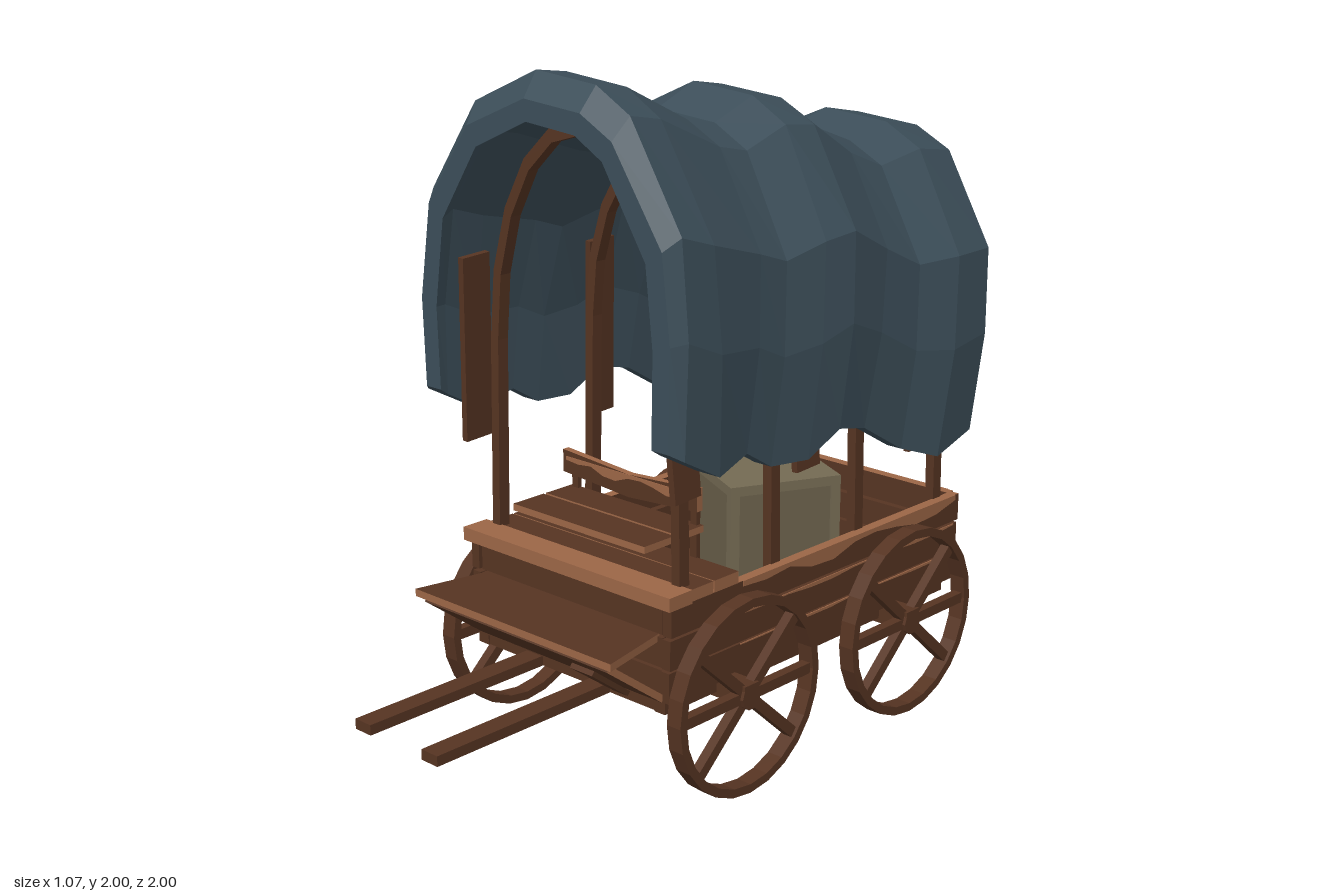
import * as THREE from 'three';

const mat = (name, color) => {
  const m = new THREE.MeshStandardMaterial({ color });
  m.name = name;
  m.flatShading = true;
  return m;
};

export function createModel() {
  const wood = mat('dark wood', 0x563422);
  const worn = mat('worn light wood', 0x9c6646);
  const cloth = mat('blue canvas', 0x3c4e59);
  const crateMat = mat('crate wood', 0x746a53);
  const crateDark = mat('crate panel', 0x6a604b);

  const model = new THREE.Group();
  model.name = 'coveredWagon';
  const add = (name, geo, m, parent = model) => {
    const mesh = new THREE.Mesh(geo, m);
    mesh.name = name;
    parent.add(mesh);
    return mesh;
  };
  // Box given by its x, y and z ranges
  const box = (name, [x0, x1], [y0, y1], [z0, z1], m = wood, parent = model) => {
    const mesh = add(name, new THREE.BoxGeometry(x1 - x0, y1 - y0, z1 - z0), m, parent);
    mesh.position.set((x0 + x1) / 2, (y0 + y1) / 2, (z0 + z1) / 2);
    return mesh;
  };
  const extrude = (pts, depth) => new THREE.ExtrudeGeometry(
    new THREE.Shape(pts.map(([x, y]) => new THREE.Vector2(x, y))), { depth, bevelEnabled: false });
  // Tapered board: wide at the top, narrow at the foot
  const taper = (name, top, foot, h, d) =>
    add(name, extrude([[-foot / 2, 0], [foot / 2, 0], [top / 2, h], [-top / 2, h]], d), wood);
  // Thin strip of worn wood with a ragged lower edge, hanging from y = 0
  const wear = (length, depth) => {
    const ragged = [0.35, 0.5, 0.3, 0.9, 1, 0.4, 0.3, 0.55, 0.95, 0.85, 0.35];
    const low = ragged.map((d, i) => [length * (i / 10 - 0.5), -depth * d]);
    return extrude([...low, [length / 2, 0], [-length / 2, 0]], 0.004);
  };
  // Face order of box materials: +x, -x, +y, -y, +z, -z
  const topWorn = [wood, wood, worn, wood, wood, wood];
  const edgeWorn = [worn, worn, wood, wood, worn, wood];

  // Bed: floor planks, cross beams, axles
  for (let i = 0; i < 5; i++) {
    const x = -0.36 + i * 0.146;
    box('floorPlank', [x, x + 0.136], [0.315, 0.335], [-0.92, 0.37]);
  }
  for (const z of [-0.86, -0.36, -0.12, 0.33]) box('crossBeam', [-0.37, 0.37], [0.285, 0.315], [z - 0.035, z + 0.035]);
  for (const z of [0.13, -0.61]) box('axle', [-0.48, 0.48], [0.27, 0.33], [z - 0.03, z + 0.03]);

  // Walls of three planks each, worn along the upper edges
  [[0.32, 0.41], [0.418, 0.505], [0.515, 0.6]].forEach((y, i) => {
    const m = i === 2 ? topWorn : wood;
    const depth = [0.008, 0.012, 0.045][i];
    for (const s of [-1, 1]) {
      const x = s * (0.375 + i * 0.004);
      box('sidePlank', [x - 0.015, x + 0.015], y, [-0.94, 0.37], m);
      const strip = add('sideWear', wear(1, depth), worn);
      strip.position.set(x + s * 0.014, y[1], -0.42);
      strip.rotation.y = s * Math.PI / 2;
    }
    box('tailPlank', [-0.37, 0.37], y, [-0.95, -0.92], m);
    const strip = add('tailWear', wear(0.7, depth * 0.5), worn);
    strip.position.set(0, y[1], -0.949);
    strip.rotation.y = Math.PI;
    box('frontPlank', [-0.36, 0.36], y, [0.34, 0.365], m);
  });
  for (const s of [-1, 1]) {
    box('bottomRail', [s * 0.355 - 0.02, s * 0.355 + 0.02], [0.285, 0.32], [-0.9, 0.37]);
    taper('tailStrap', 0.08, 0.055, 0.26, 0.015).position.set(s * 0.29, 0.33, -0.965);
  }

  // Pulling shafts
  for (const x of [-0.14, 0.13]) box('shaft', [x - 0.031, x + 0.031], [0.285, 0.315], [-0.1, 1]);

  // Foot board, flaring forward, over a panel that slopes back to the bed
  const foot = new THREE.BoxGeometry(1, 0.022, 0.24);
  const fp = foot.attributes.position;
  for (let i = 0; i < fp.count; i++) fp.setX(i, fp.getX(i) * (fp.getZ(i) > 0 ? 0.78 : 0.68));
  add('footBoard', foot, edgeWorn).position.set(0, 0.5, 0.475);
  const slope = Math.atan2(0.21, 0.155);
  const panel = box('slopedPanel', [-0.365, 0.365], [0, 0.262], [0, 0.02], [worn, worn, wood, wood, wood, wood]);
  panel.position.set(0, 0.406, 0.472);
  panel.rotation.x = slope;
  const strap = taper('frontStrap', 0.085, 0.055, 0.19, 0.015);
  strap.position.set(0.23, 0.325, 0.385);
  strap.rotation.x = slope;

  // Driver's deck and bench
  for (const z of [[0.1, 0.2], [0.205, 0.295]]) box('deckPlank', [-0.4, 0.4], [0.6, 0.635], z, edgeWorn);
  box('deckFrontPlank', [-0.41, 0.41], [0.6, 0.64], [0.3, 0.39], [worn, worn, worn, wood, worn, wood]);
  for (const s of [-1, 1])
    box('backrestPost', [s * 0.235 - 0.012, s * 0.235 + 0.012], [0.61, 0.82], [0.09, 0.105]);
  for (const z of [[0.09, 0.2], [0.21, 0.33]])
    box('benchPlank', [-0.26, 0.26], [0.712, 0.732], z, edgeWorn);
  // Backrest, sagging in the middle
  const rest = new THREE.BoxGeometry(0.53, 0.068, 0.022, 4, 1, 1);
  const rp = rest.attributes.position;
  for (let i = 0; i < rp.count; i++) rp.setY(i, rp.getY(i) + Math.abs(rp.getX(i)) * 0.07 - 0.01);
  add('backrest', rest, [worn, worn, worn, wood, wood, wood]).position.set(0, 0.805, 0.112);
  add('backrestWear', wear(0.5, 0.03), worn).position.set(0, 0.829, 0.122);

  // Wheels: rim, hub and spokes
  const rimShape = new THREE.Shape().absarc(0, 0, 0.292, 0, Math.PI * 2);
  rimShape.holes.push(new THREE.Path().absarc(0, 0, 0.266, 0, Math.PI * 2, true));
  const rimGeo = new THREE.ExtrudeGeometry(rimShape, { depth: 0.05, bevelEnabled: false, curveSegments: 12 })
    .translate(0, 0, -0.025).rotateY(Math.PI / 2);
  const hubGeo = new THREE.CylinderGeometry(0.038, 0.038, 0.05, 10).rotateZ(Math.PI / 2);
  for (const x of [-0.455, 0.455]) for (const z of [0.13, -0.61]) {
    const wheel = new THREE.Group();
    wheel.name = 'wheel';
    wheel.position.set(x, 0.292, z);
    add('rim', rimGeo, wood, wheel);
    add('hub', hubGeo, wood, wheel);
    for (const deg of [0, 42, 138, 180, 222, 318]) {
      const a = deg * Math.PI / 180;
      const spoke = box('spoke', [-0.015, 0.015], [-0.016, 0.016], [-0.123, 0.123], wood, wheel);
      spoke.position.set(0, Math.sin(a) * 0.15, Math.cos(a) * 0.15);
      spoke.rotation.x = -a;
    }
    model.add(wheel);
  }

  // Hoops under the cover: posts that run into an arch
  const archPoints = (w, top) => {
    const pts = [[-w - 0.015, 0.34]];
    for (let i = 0; i <= 10; i++) {
      const a = Math.PI * (1 - i / 10);
      pts.push([Math.cos(a) * w, 1.2 + Math.sin(a) * (top - 1.2)]);
    }
    pts.push([w + 0.015, 0.34]);
    return pts;
  };
  for (const [z, top] of [[0.29, 1.86], [-0.09, 1.785], [-0.47, 1.725], [-0.86, 1.685]]) {
    const geo = extrude([...archPoints(0.362, top), ...archPoints(0.332, top - 0.04).reverse()], 0.038);
    add('hoop', geo, wood).position.z = z - 0.019;
  }
  // Loose slats hanging inside the cover
  for (const s of [-1, 1]) for (const [z, y] of [[0.34, 0.9], [-0.16, 0.87], [-0.68, 0.81]]) {
    const slat = box('hangingSlat', [-0.01, 0.01], [y, y + 0.55], [z - 0.05, z + 0.05]);
    slat.position.x = s * 0.392;
    slat.rotation.set(0.05, 0, s * 0.06);
  }

  // Cover: closed cross-sections, outer arch then inner arch
  const arch = [[-1, 0], [-1.02, 0.3], [-0.93, 0.62], [-0.58, 0.89], [-0.1, 1], [0.34, 0.98],
    [0.58, 0.91], [0.95, 0.61], [1.01, 0.33], [1, 0]];
  // crest z, hem z, crest y, hem y, half width, thickness
  const rows = [
    [0.46, 0.46, 1.93, 1.07, 0.47, 0.06], [0.41, 0.43, 2.0, 1.05, 0.5, 0.085], [0.3, 0.3, 1.985, 0.98, 0.505, 0.085],
    [0.06, 0.17, 1.87, 1.01, 0.485, 0.06], [-0.05, 0.07, 1.85, 0.95, 0.485, 0.06], [-0.2, -0.07, 1.91, 0.94, 0.5, 0.07],
    [-0.32, -0.2, 1.89, 1.0, 0.505, 0.07], [-0.5, -0.33, 1.78, 0.97, 0.49, 0.055], [-0.64, -0.5, 1.73, 0.87, 0.495, 0.05],
    [-0.8, -0.64, 1.77, 0.82, 0.525, 0.06], [-0.96, -0.82, 1.74, 0.86, 0.51, 0.075], [-1.0, -0.87, 1.68, 0.97, 0.46, 0.085]];
  const n = arch.length;
  const loops = rows.map(([zc, zh, top, hem, w, inset]) => {
    const point = (half, crest) => ([u, v]) => [u * half, hem + (crest - hem) * v, zh + (zc - zh) * Math.min(1, v * 1.1)];
    return [...arch.map(point(w, top)), ...arch.map(point(w - inset, top - inset)).reverse()];
  });
  const verts = [];
  const quad = (a, b, c, d) => verts.push(...a, ...b, ...c, ...a, ...c, ...d);
  const m = n * 2;
  for (let r = 0; r < loops.length - 1; r++) for (let i = 0; i < m; i++) {
    const j = (i + 1) % m;
    quad(loops[r][i], loops[r][j], loops[r + 1][j], loops[r + 1][i]);
  }
  const first = loops[0], last = loops[loops.length - 1];
  for (let i = 0; i < n - 1; i++) {
    quad(first[i], first[m - 1 - i], first[m - 2 - i], first[i + 1]);
    quad(last[i], last[i + 1], last[m - 2 - i], last[m - 1 - i]);
  }
  const coverGeo = new THREE.BufferGeometry();
  coverGeo.setAttribute('position', new THREE.Float32BufferAttribute(verts, 3));
  coverGeo.computeVertexNormals();
  add('canvasCover', coverGeo, cloth);

  // Turned crate with framed sides
  const crate = new THREE.Group();
  crate.name = 'crate';
  crate.position.set(0, 0.335, -0.48);
  crate.rotation.y = -0.46;
  box('crateBody', [-0.152, 0.152], [0, 0.365], [-0.172, 0.172], crateDark, crate);
  box('crateLid', [-0.16, 0.16], [0.345, 0.375], [-0.18, 0.18], crateMat, crate);
  box('crateFoot', [-0.16, 0.16], [0, 0.03], [-0.18, 0.18], crateMat, crate);
  for (const sx of [-1, 1]) for (const sz of [-1, 1])
    box('cratePost', [sx * 0.145 - 0.015, sx * 0.145 + 0.015], [0.03, 0.345], [sz * 0.165 - 0.015, sz * 0.165 + 0.015], crateMat, crate);
  model.add(crate);

  return model;
}
